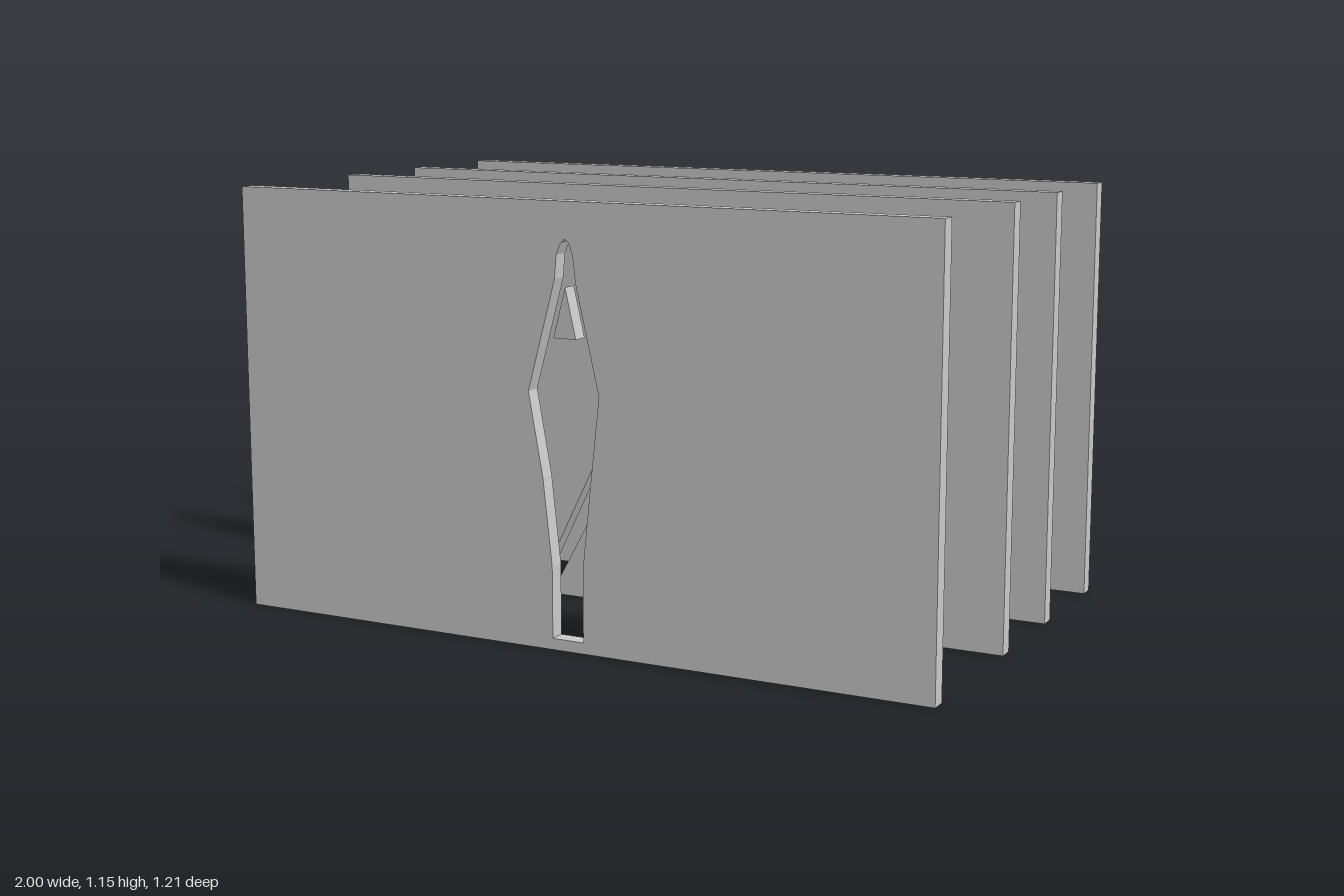
import * as THREE from 'three';

const HEIGHT = 1.155, DEPTH = 0.044;
const material = new THREE.MeshStandardMaterial({ color: 0xcccccc });

const toPoints = (list) => list.map(([x, y]) => new THREE.Vector2(x, y));

// extrude a flat outline, with optional cut-outs, to the panel thickness
function slab(name, outline, holes = []) {
  const shape = new THREE.Shape(toPoints(outline));
  for (const h of holes) shape.holes.push(new THREE.Path(toPoints(h)));
  const mesh = new THREE.Mesh(
    new THREE.ExtrudeGeometry(shape, { depth: DEPTH, bevelEnabled: false }), material);
  mesh.name = name;
  return mesh;
}

const board = [[-1, 0], [1, 0], [1, HEIGHT], [-1, HEIGHT]];

// standing figure, arms joined overhead
const standing = [
  [-0.045, 0.03], [0.045, 0.03], [0.045, 0.22], [0.07, 0.45], [0.095, 0.67],
  [0.03, 0.95], [0.022, 1.02], [0.012, 1.05], [0, 1.06], [-0.012, 1.05],
  [-0.025, 1.02], [-0.03, 0.96], [-0.11, 0.67], [-0.07, 0.45], [-0.045, 0.22],
];

// side-bending figure, one arm down and one arm up
const bending = [
  [-0.36, 0.046], [-0.31, 0.043], [-0.206, 0.231], [-0.12, 0.36], [-0.06, 0.38],
  [0.07, 0.47], [0.19, 0.5], [0.2, 0.19], [0.09, 0.27], [0.07, 0.22],
  [0.2, 0.12], [0.2, 0.04], [0.235, 0.04], [0.235, 0.09], [0.3, 0.03],
  [0.34, 0.05], [0.235, 0.155], [0.235, 0.5], [0.3, 0.53], [0.33, 0.58],
  [0.3, 0.62], [0.24, 0.6], [0.23, 0.9], [0.2, 0.9], [0.19, 0.58],
  [0.08, 0.54], [-0.04, 0.49], [-0.07, 0.5], [-0.14, 0.5], [-0.18, 0.41],
];

// small opening low on the third panel
const lowOpening = [
  [0, 0.06], [-0.12, 0.05], [-0.155, 0.1], [-0.105, 0.145], [-0.07, 0.1], [-0.04, 0.11],
];

// one-legged figure with a bent knee, arms joined overhead
const balancing = [
  [-0.05, 0.035], [-0.015, 0.035], [-0.01, 0.12], [0.025, 0.13], [0.125, 0.24],
  [0.155, 0.265], [0.14, 0.29], [0.055, 0.355], [0.05, 0.43], [0.077, 0.51],
  [0.055, 0.575], [0.075, 0.625], [0.015, 0.805], [0, 0.815], [-0.025, 0.8],
  [-0.085, 0.65], [-0.06, 0.58], [-0.09, 0.51], [-0.055, 0.42], [-0.07, 0.33], [-0.05, 0.2],
];

// each panel: back plane, cut-out, and loose pieces left standing inside it
const panels = [
  { name: 'frontPanel', z: 0.561, hole: standing,
    inserts: [[[-0.035, 0.81], [0.03, 0.81], [0, 0.94]]] },
  { name: 'secondPanel', z: 0.081, hole: bending, inserts: [] },
  { name: 'thirdPanel', z: -0.254, hole: lowOpening, inserts: [] },
  { name: 'backPanel', z: -0.605, hole: balancing,
    inserts: [
      [[-0.035, 0.65], [0.03, 0.65], [0, 0.75]],
      [[0.005, 0.19], [0.085, 0.255], [0.01, 0.31]],
    ] },
];

export function createModel() {
  const model = new THREE.Group();
  model.name = 'cutoutPanels';
  for (const { name, z, hole, inserts } of panels) {
    const group = new THREE.Group();
    group.name = name;
    group.position.z = z;
    group.add(slab('board', board, [hole]));
    for (const piece of inserts) group.add(slab('insert', piece));
    model.add(group);
  }
  return model;
}
